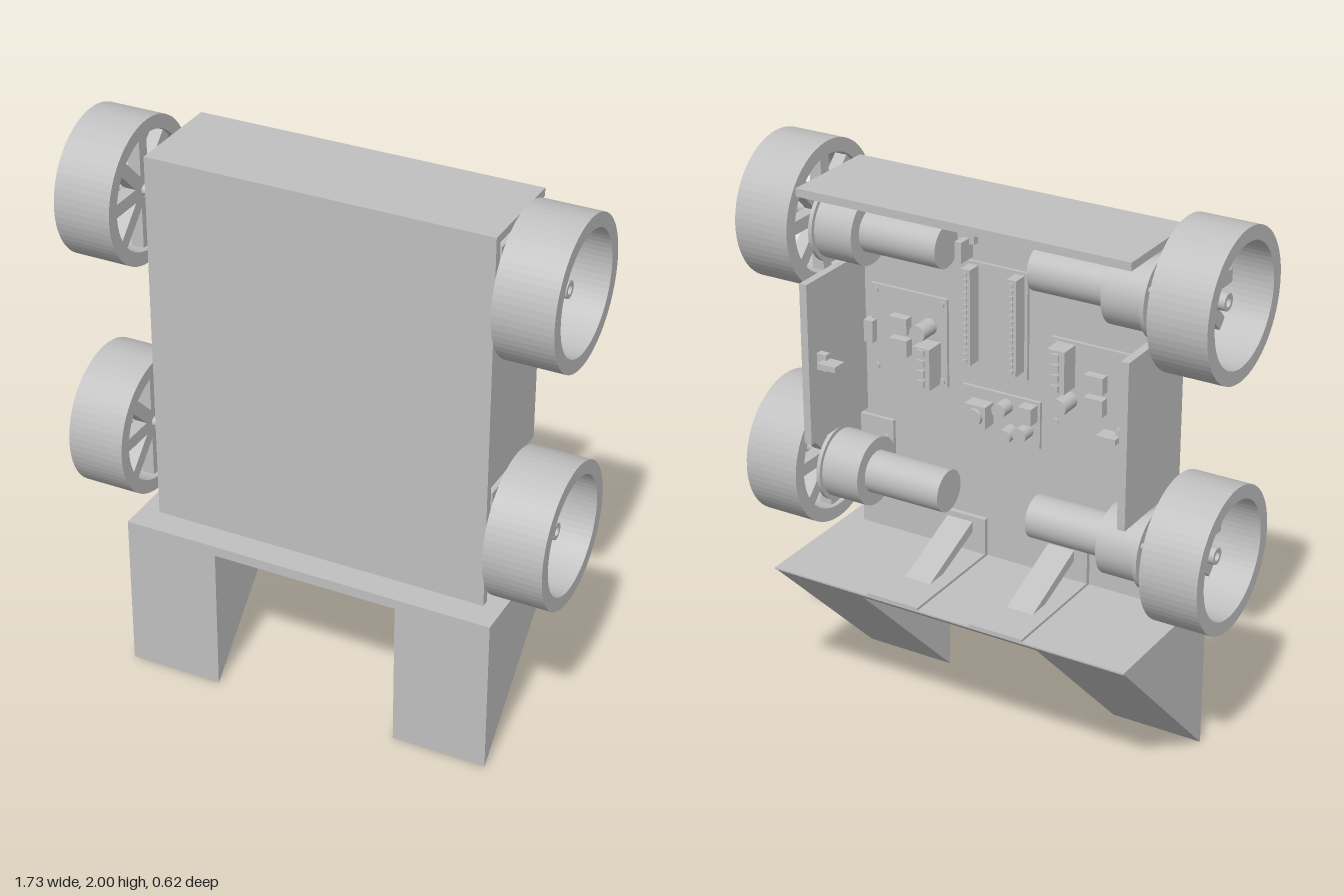
import * as THREE from 'three';

const grey = new THREE.MeshStandardMaterial({ color: 0xc0c0c0 });
grey.name = 'plain grey';

function mesh(parent, name, geo, x = 0, y = 0, z = 0) {
  const m = new THREE.Mesh(geo, grey);
  m.name = name;
  m.position.set(x, y, z);
  parent.add(m);
  return m;
}

// Box given by its limits on each axis
function box(parent, name, x0, x1, y0, y1, z0, z1) {
  return mesh(parent, name, new THREE.BoxGeometry(x1 - x0, y1 - y0, z1 - z0),
    (x0 + x1) / 2, (y0 + y1) / 2, (z0 + z1) / 2);
}

// Cylinder along x between x0 and x1
function rod(parent, name, r, x0, x1, y, z) {
  const geo = new THREE.CylinderGeometry(r, r, Math.abs(x1 - x0), 40).rotateZ(Math.PI / 2);
  return mesh(parent, name, geo, (x0 + x1) / 2, y, z);
}

// Hollow cylinder along x, starting at x = 0
function tube(outer, inner, length) {
  const s = new THREE.Shape().absarc(0, 0, outer, 0, Math.PI * 2);
  s.holes.push(new THREE.Path().absarc(0, 0, inner, 0, Math.PI * 2, true));
  return new THREE.ExtrudeGeometry(s, { depth: length, bevelEnabled: false, curveSegments: 32 })
    .rotateY(Math.PI / 2);
}

// Outline in (z, y) extruded along x, starting at x = 0
function sideExtrude(points, width) {
  const s = new THREE.Shape(points.map(([z, y]) => new THREE.Vector2(-z, y)));
  return new THREE.ExtrudeGeometry(s, { depth: width, bevelEnabled: false }).rotateY(Math.PI / 2);
}

// Spoked wheel with its axle hub, facing +x
function wheel() {
  const g = new THREE.Group();
  g.name = 'wheel';
  mesh(g, 'rim', tube(0.253, 0.205, 0.205), 0.66);
  mesh(g, 'hub', tube(0.029, 0.016, 0.13), 0.68);
  for (let i = 0; i < 8; i++) {
    const a = i * Math.PI / 4;
    const s = mesh(g, 'spoke', new THREE.BoxGeometry(0.045, 0.19, 0.046),
      0.7, Math.cos(a) * 0.119, Math.sin(a) * 0.119);
    s.rotation.x = a;
  }
  rod(g, 'axle', 0.018, 0.6, 0.72, 0, 0);
  rod(g, 'collar', 0.038, 0.6, 0.637, 0, 0);
  return g;
}

// Gear motor with its L-shaped mount; the axle sits off the motor's axis
function motor() {
  const g = new THREE.Group();
  g.name = 'motor';
  rod(g, 'gearbox', 0.122, 0.46, 0.605, 0, 0);
  rod(g, 'motorCan', 0.075, 0.17, 0.46, 0, 0);
  rod(g, 'mountDisc', 0.137, 0.603, 0.617, 0, 0);
  box(g, 'mountPlate', 0.603, 0.616, -0.137, 0.137, 0, 0.136);
  box(g, 'mountFoot', 0.47, 0.61, -0.137, 0.137, 0.122, 0.136);
  for (const y of [-0.07, 0, 0.07]) {
    const b = mesh(g, 'footBolt', new THREE.CylinderGeometry(0.012, 0.012, 0.012, 16), 0.5, y, 0.118);
    b.rotation.x = Math.PI / 2;
  }
  for (let i = 0; i < 6; i++) {
    const a = i * Math.PI / 3 + 0.5;
    rod(g, 'faceBolt', 0.011, 0.61, 0.623, Math.sin(a) * 0.11, Math.cos(a) * 0.11);
  }
  return g;
}

// Driver board with chips, terminals and a capacitor, centred on its own origin
function driverBoard() {
  const g = new THREE.Group();
  g.name = 'driverBoard';
  box(g, 'board', -0.15, 0.15, -0.16, 0.16, -0.012, 0);
  box(g, 'lowerChip', -0.01, 0.06, -0.07, -0.01, -0.045, 0);
  box(g, 'upperChip', -0.01, 0.06, 0.01, 0.07, -0.045, 0);
  box(g, 'pinHeader', 0.13, 0.165, -0.05, 0.03, -0.04, 0);
  box(g, 'terminalBlock', -0.125, -0.06, -0.15, 0, -0.085, 0);
  for (let i = 0; i < 4; i++) {
    const y = -0.13 + i * 0.037;
    box(g, 'terminalScrew', -0.107, -0.079, y - 0.01, y + 0.014, -0.093, -0.08);
  }
  mesh(g, 'capacitor', new THREE.CylinderGeometry(0.03, 0.03, 0.09, 24).rotateX(Math.PI / 2),
    -0.08, 0.05, -0.045);
  for (const x of [-0.13, 0.13]) for (const y of [-0.14, 0.14])
    mesh(g, 'boardScrew', new THREE.CylinderGeometry(0.011, 0.011, 0.01, 16).rotateX(Math.PI / 2), x, y, -0.014);
  return g;
}

export function createModel() {
  const model = new THREE.Group();
  model.name = 'robot';

  // Body shell, open at the back
  box(model, 'frontPlate', -0.61, 0.61, 0.575, 1.93, 0.136, 0.165);
  box(model, 'topPanel', -0.61, 0.61, 1.902, 1.93, -0.207, 0.14);
  box(model, 'topCatch', -0.03, 0.03, 1.85, 1.905, -0.16, -0.135);
  box(model, 'topCatchTongue', -0.012, 0.012, 1.8, 1.87, -0.207, -0.135);

  for (const side of [1, -1]) {
    const half = new THREE.Group();
    half.name = side > 0 ? 'leftSide' : 'rightSide';
    if (side < 0) half.rotation.y = Math.PI; // turned, then each part is set back in z
    model.add(half);
    const [a, b] = side > 0 ? [0.582, 0.61] : [-0.61, -0.582];
    box(model, 'sidePanel', a, b, 1.02, 1.6, -0.207, 0.14);
    box(model, 'sideCatch', side > 0 ? 0.545 : -0.585, side > 0 ? 0.585 : -0.545, 1.28, 1.34, -0.16, -0.135);
    box(model, 'sideCatchTongue', side > 0 ? 0.49 : -0.56, side > 0 ? 0.56 : -0.49, 1.3, 1.32, -0.19, -0.135);

    for (const y of [0.865, 1.75]) {
      const w = wheel();
      w.position.set(0, y, 0.056 * side);
      half.add(w);
      const m = motor();
      m.position.set(0, y, 0);
      if (side < 0) { // keep the mount foot against the front plate
        m.rotation.x = Math.PI;
      }
      half.add(m);
    }

    // Wedge-shaped leg
    mesh(model, 'wedgeLeg', sideExtrude([[0.265, 0], [0.265, 0.574], [-0.315, 0.574]], 0.34),
      side > 0 ? 0.337 : -0.677);

    // Bracket with a diagonal brace between front plate and shelf
    const c = side * 0.2;
    box(model, 'bracketBase', c - 0.1, c + 0.1, 0.573, 0.586, -0.315, 0.136);
    box(model, 'bracketUpright', c - 0.1, c + 0.1, 0.575, 0.72, 0.118, 0.137);
    mesh(model, 'bracketBrace',
      sideExtrude([[0.12, 0.66], [0.12, 0.7], [-0.16, 0.584], [-0.08, 0.584]], 0.1), c - 0.05);
  }

  // Shelf under the body, bevelled at the back to match the legs
  mesh(model, 'shelf', sideExtrude([[0.265, 0.54], [0.265, 0.575], [-0.315, 0.575], [-0.28, 0.54]], 0.68), -0.34);
  box(model, 'shelfTop', -0.677, 0.677, 0.57, 0.576, -0.315, 0.265);

  // Motor driver boards, one turned upside down
  const left = driverBoard();
  left.position.set(0.4, 1.34, 0.136);
  const right = driverBoard();
  right.position.set(-0.3, 1.3, 0.136);
  right.rotation.z = Math.PI;
  model.add(left, right);

  // Controller board with two long pin sockets
  box(model, 'controllerBoard', -0.06, 0.18, 1.28, 1.66, 0.124, 0.136);
  for (const x of [0.145, -0.03]) {
    box(model, 'pinSocket', x - 0.018, x + 0.018, 1.31, 1.65, 0.07, 0.13);
    for (let i = 0; i < 15; i++)
      box(model, 'socketPin', x - 0.007, x + 0.007, 1.32 + i * 0.022, 1.331 + i * 0.022, 0.064, 0.072);
  }

  // Power board
  box(model, 'powerBoard', -0.11, 0.19, 1.04, 1.21, 0.124, 0.136);
  box(model, 'inductor', 0.07, 0.15, 1.09, 1.17, 0.07, 0.13);
  mesh(model, 'inductorCore', new THREE.CylinderGeometry(0.03, 0.03, 0.02, 24).rotateX(Math.PI / 2), 0.11, 1.13, 0.066);
  for (const [x, y] of [[0.02, 1.17], [-0.06, 1.1], [0.0, 1.08]])
    mesh(model, 'powerCapacitor', new THREE.CylinderGeometry(0.026, 0.026, 0.06, 20).rotateX(Math.PI / 2), x, y, 0.1);
  box(model, 'powerTerminal', -0.1, -0.05, 1.14, 1.2, 0.08, 0.13);

  return model;
}
